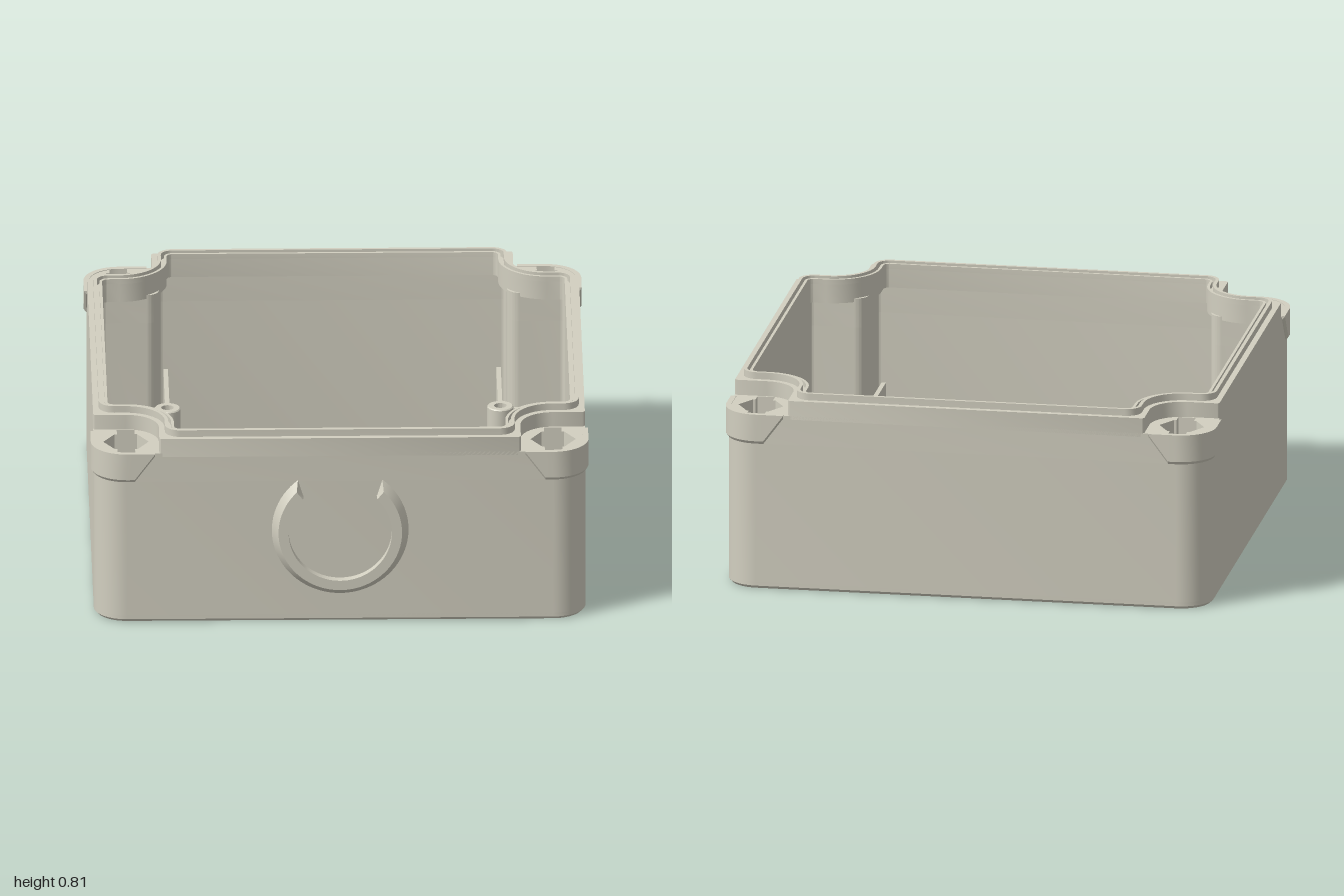
import * as THREE from 'three';
import { toCreasedNormals, mergeVertices } from 'three/addons/utils/BufferGeometryUtils.js';

const material = new THREE.MeshStandardMaterial({ color: 0xd2cfc0, side: THREE.DoubleSide });
const BOLT = 0.847; // bolt hole offset from the centre on both axes
const V2 = THREE.Vector2;

function addMesh(parent, name, geometry) {
  const mesh = new THREE.Mesh(toCreasedNormals(geometry, 0.5), material);
  mesh.name = name;
  parent.add(mesh);
  return mesh;
}

// Points on an arc, angles in degrees
function arc(cx, cy, r, from, to, n = 10) {
  return Array.from({ length: n + 1 }, (_, i) => {
    const a = THREE.MathUtils.degToRad(from + ((to - from) * i) / n);
    return new V2(cx + r * Math.cos(a), cy + r * Math.sin(a));
  });
}

// Repeat one corner's points around the four corners
function fourfold(corner) {
  const pts = [];
  for (let k = 0; k < 4; k++) {
    for (const p of corner) pts.push(p.clone().rotateAround(new V2(), (k * Math.PI) / 2));
  }
  return pts;
}

const roundedSquare = (h, r) => fourfold(arc(h - r, h - r, r, 0, 90, 14));

// Square of half width h whose corners are cut back to e, with concave radius r and convex fillet f
const notched = (h, e, r, f) => fourfold([
  ...arc(h - f, e - f, f, 0, 90, 8),
  ...arc(e + r, e + r, r, -90, -180, 14),
  ...arc(e - f, h - f, f, 0, 90, 8),
]);

// Extrude an outline with holes upward from y0 to y1
function layer(parent, name, outline, holes, y0, y1, bevel = 0) {
  const shape = new THREE.Shape(outline);
  shape.holes = holes.map((h) => new THREE.Path(h));
  const geometry = new THREE.ExtrudeGeometry(shape, {
    depth: y1 - y0 - 2 * bevel,
    bevelEnabled: bevel > 0,
    bevelSize: bevel, bevelThickness: bevel, bevelOffset: -bevel, bevelSegments: 1,
  });
  geometry.translate(0, 0, bevel).rotateX(-Math.PI / 2).translate(0, y0, 0);
  return addMesh(parent, name, geometry);
}

// Skin between equal cross-sections, closed at both ends
function loft(sections) {
  const n = sections[0].length;
  const index = [];
  for (let i = 0; i < sections.length - 1; i++) {
    for (let j = 0; j < n; j++) {
      const a = i * n + j, b = i * n + ((j + 1) % n);
      index.push(a, b, a + n, b, b + n, a + n);
    }
  }
  const last = (sections.length - 1) * n;
  for (let j = 1; j < n - 1; j++) index.push(0, j + 1, j, last, last + j, last + j + 1);
  const geometry = new THREE.BufferGeometry();
  geometry.setAttribute('position', new THREE.Float32BufferAttribute(sections.flat(2), 3));
  geometry.setIndex(index);
  return mergeVertices(geometry);
}

// Place a hole outline at the four bolt positions
const atBolts = (pts) => [[1, 1], [1, -1], [-1, -1], [-1, 1]].map(([sx, sy]) =>
  pts.map((p) => new V2(p.x + sx * BOLT, p.y + sy * BOLT)));

// Corner skirt: a thin wrap with slanted ends and a chamfered lower edge
function skirtGeometry() {
  const h = 0.975, r = 0.13, c = h - r, top = 0.722;
  const path = [{ x: 0.735, z: h, nx: 0, nz: 1, low: 0.708 }, { x: 0.815, z: h, nx: 0, nz: 1, low: 0.6 }];
  for (const p of arc(c, c, r, 90, 0, 14)) {
    path.push({ x: p.x, z: p.y, nx: (p.x - c) / r, nz: (p.y - c) / r, low: 0.6 });
  }
  path.push({ x: h, z: 0.815, nx: 1, nz: 0, low: 0.6 }, { x: h, z: 0.735, nx: 1, nz: 0, low: 0.708 });
  return loft(path.map((p) => [
    [-0.01, p.low], [0.003, p.low], [0.012, p.low + 0.012], [0.012, top], [-0.01, top],
  ].map(([d, y]) => [p.x + p.nx * d, y, p.z + p.nz * d])));
}

// Open ring: each profile point has its own end angle, so the ends are slanted
function openRingGeometry() {
  const profile = [[0.205, -0.005, 2.36], [0.205, 0.035, 2.34], [0.245, 0.035, 2.36], [0.275, -0.005, 2.49]];
  const steps = 64;
  const sections = [];
  for (let i = 0; i <= steps; i++) {
    sections.push(profile.map(([r, z, end]) => {
      const a = ((2 * i) / steps - 1) * end;
      return [r * Math.sin(a), -r * Math.cos(a), z];
    }));
  }
  return loft(sections);
}

export function createModel() {
  const model = new THREE.Group();
  model.name = 'enclosureBase';
  const box = new THREE.Group();
  box.name = 'box';
  box.position.z = -0.01;
  model.add(box);

  const outer = roundedSquare(0.975, 0.13);
  const cavity = notched(0.92, 0.69, 0.05, 0.02);
  const upperCavity = notched(0.917, 0.657, 0.19, 0.025);
  const boltHoles = atBolts(arc(0, 0, 0.046, 0, 345, 23));

  // Hexagonal pocket crossed by a slot
  const quarter = [[0.09, 0], [0.045, 0.078], [0.035, 0.078], [0.035, 0.122]];
  const half = [...quarter, ...quarter.slice(1).reverse().map(([x, y]) => [-x, y])];
  const pocket = [...half, ...half.map(([x, y]) => [-x, -y])].map(([x, y]) => new V2(x, y));

  // Floor, walls with solid corner columns, and the pocketed corners
  layer(box, 'floor', outer, boltHoles, 0, 0.04, 0.012);
  layer(box, 'walls', outer, [cavity, ...boltHoles], 0.02, 0.6);
  layer(box, 'pocketedCorners', outer, [cavity, ...atBolts(pocket)], 0.6, 0.72);

  // Upper wall curving around the bolts, then the seal rim with its groove
  layer(box, 'upperWall', notched(0.975, 0.717, 0.13, 0.012), [upperCavity], 0.705, 0.782);
  layer(box, 'outerRim', notched(0.952, 0.694, 0.153, 0.06), [notched(0.938, 0.68, 0.167, 0.046)], 0.782, 0.81);
  layer(box, 'innerRim', notched(0.928, 0.668, 0.179, 0.036), [upperCavity], 0.782, 0.803);

  // Corner skirts, and the standoffs with two ribs each
  const skirt = skirtGeometry();
  const standoffProfile = [[0.025, 0.04], [0.025, 0.32], [0.048, 0.32], [0.052, 0.316], [0.052, 0.03]]
    .map(([x, y]) => new V2(x, y));
  for (const sx of [1, -1]) {
    for (const sz of [1, -1]) {
      addMesh(box, 'cornerSkirt', skirt).scale.set(sx, 1, sz);

      const x = 0.66 * sx, z = sz > 0 ? 0.63 : -0.49;
      addMesh(box, 'standoff', new THREE.LatheGeometry(standoffProfile, 24)).position.set(x, 0, z);
      const lengthX = 0.925 - 0.705;
      addMesh(box, 'sideRib', new THREE.BoxGeometry(lengthX, 0.28, 0.018))
        .position.set(sx * (0.705 + lengthX / 2), 0.17, z);
      const lengthZ = 0.925 - Math.abs(z) - 0.045;
      addMesh(box, 'endRib', new THREE.BoxGeometry(0.018, 0.28, lengthZ))
        .position.set(x, 0.17, sz * (0.925 - lengthZ / 2));
    }
  }

  // Raised open ring on the front wall
  addMesh(model, 'frontRing', openRingGeometry()).position.set(0, 0.39, 0.965);
  return model;
}
